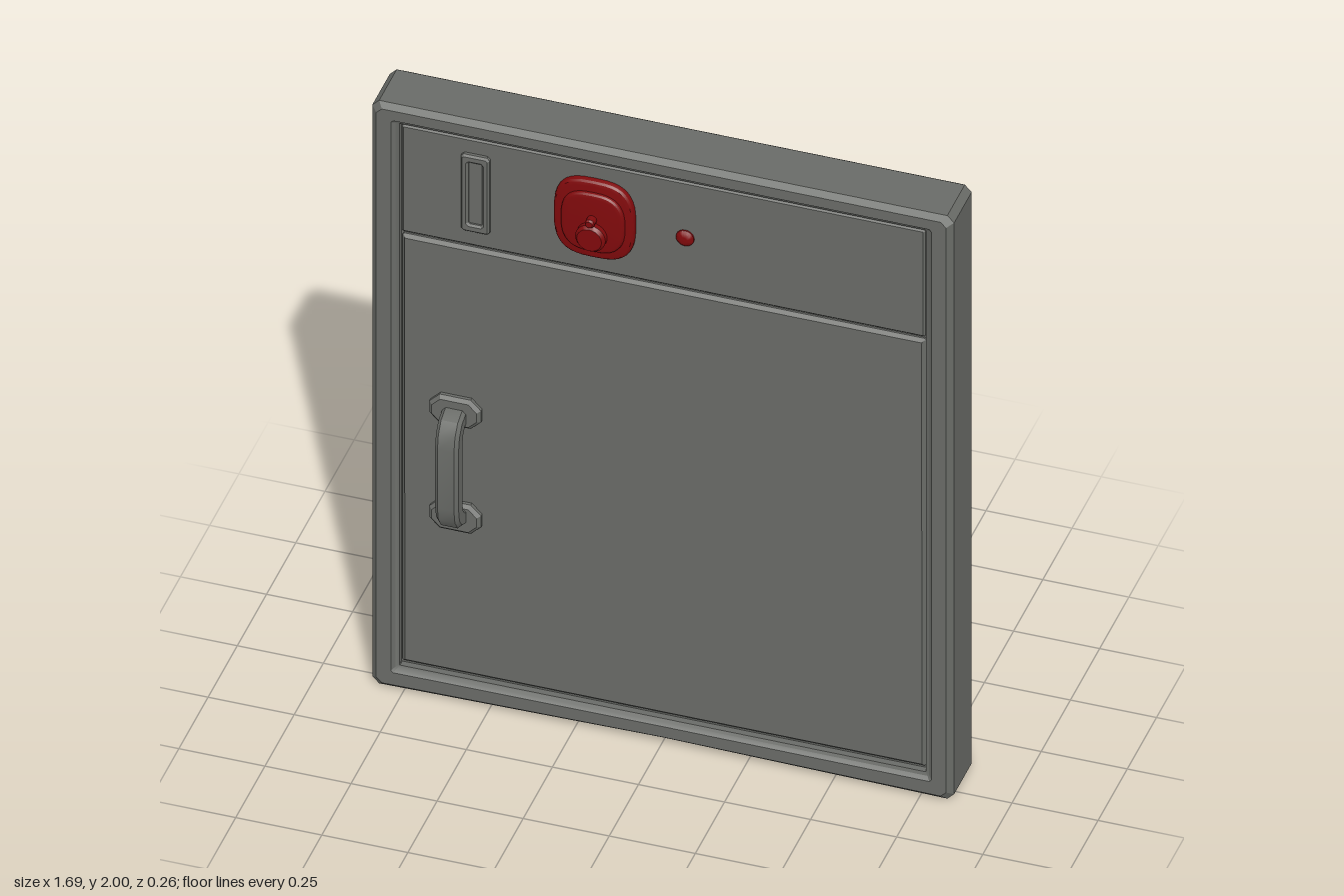
import * as THREE from 'three';
import { toCreasedNormals } from 'three/addons/utils/BufferGeometryUtils.js';

const grey = new THREE.MeshStandardMaterial({ color: 0x696b67 });
grey.name = 'dark grey metal';
const red = new THREE.MeshStandardMaterial({ color: 0x800a0c });
red.name = 'red enamel';

function add(parent, name, geometry, material, x = 0, y = 0, z = 0) {
  const mesh = new THREE.Mesh(toCreasedNormals(geometry, 0.5), material);
  mesh.name = name;
  mesh.position.set(x, y, z);
  parent.add(mesh);
  return mesh;
}

const toShape = (pts) => new THREE.Shape(pts.map(([x, y]) => new THREE.Vector2(x, y)));

// Rectangle outline with cut corners
function cutRect(w, h, c) {
  const x = w / 2, y = h / 2;
  return [[x, c - y], [x, y - c], [x - c, y], [c - x, y],
    [-x, y - c], [-x, c - y], [c - x, -y], [x - c, -y]];
}

// Rounded-square outline
function superEllipse(rx, ry, power, n = 40) {
  const pts = [];
  for (let i = 0; i < n; i++) {
    const a = (i / n) * Math.PI * 2, c = Math.cos(a), s = Math.sin(a);
    pts.push([rx * Math.sign(c) * Math.abs(c) ** (2 / power),
      ry * Math.sign(s) * Math.abs(s) ** (2 / power)]);
  }
  return pts;
}

// Plate between z0 and z1 whose edges are bevelled inside its outline
function plate(shape, z0, z1, bevel, segments = 1) {
  return new THREE.ExtrudeGeometry(shape, {
    depth: z1 - z0 - 2 * bevel, bevelEnabled: true, bevelSize: bevel,
    bevelThickness: bevel, bevelOffset: -bevel, bevelSegments: segments,
  }).translate(0, 0, z0 + bevel);
}

// Outer frame: a chamfered profile swept around the door
function frameGeometry() {
  const loop = (x, y0, y1, c, lift) => [
    [0, y0 + lift], [x - c, y0], [x, y0 + c], [x, y1 - c], [x - c, y1],
    [c - x, y1], [-x, y1 - c], [-x, y0 + c], [c - x, y0]];
  const outer = loop(0.845, 0, 2, 0.02, 0.012);
  const inner = loop(0.765, 0.08, 1.938, 0.002, 0);
  const profile = [[0, -0.112], [0, 0.038], [0.22, 0.056], [0.75, 0.056], [0.88, 0.046],
    [1, 0.042], [1, -0.116], [0.88, -0.12], [0.75, -0.13], [0.22, -0.13]];
  const n = outer.length, m = profile.length, position = [], index = [];
  for (let i = 0; i < n; i++) {
    for (let j = 0; j < m; j++) {
      const [t, z] = profile[j];
      position.push(THREE.MathUtils.lerp(outer[i][0], inner[i][0], t),
        THREE.MathUtils.lerp(outer[i][1], inner[i][1], t), z);
      const i2 = (i + 1) % n, j2 = (j + 1) % m;
      const a = i * m + j, b = i2 * m + j, c = i2 * m + j2, d = i * m + j2;
      index.push(a, b, c, a, c, d);
    }
  }
  const g = new THREE.BufferGeometry();
  g.setAttribute('position', new THREE.Float32BufferAttribute(position, 3));
  g.setIndex(index);
  g.computeVertexNormals();
  return g;
}

// Round knob facing forward, from a profile of [radius, height]
function knob(points, segments = 24) {
  return new THREE.LatheGeometry(points.map(([r, h]) => new THREE.Vector2(r, h)), segments)
    .rotateX(Math.PI / 2);
}

export function createModel() {
  const model = new THREE.Group();
  model.name = 'hatchDoor';

  // Frame and the two panels, with a core behind the gap
  add(model, 'frame', frameGeometry(), grey);
  add(model, 'core', new THREE.BoxGeometry(1.54, 1.87, 0.12), grey, 0, 1.008, -0.038);
  add(model, 'lowerPanel', plate(toShape(cutRect(1.52, 1.465, 0.004)), -0.112, 0.038, 0.01),
    grey, 0, 0.8225);
  add(model, 'upperPanel', plate(toShape(cutRect(1.52, 0.365, 0.004)), -0.112, 0.038, 0.005),
    grey, 0, 1.7485);

  // Card slot: raised rim around a sunken strip
  const rim = toShape(cutRect(0.084, 0.262, 0.008));
  rim.holes.push(new THREE.Path(cutRect(0.04, 0.21, 0.004).reverse()
    .map(([x, y]) => new THREE.Vector2(x, y))));
  const slot = new THREE.Group();
  slot.name = 'cardSlot';
  slot.position.set(-0.543, 1.752, 0);
  add(slot, 'slotRim', plate(rim, 0.03, 0.053, 0.006), grey);
  add(slot, 'slotStrip', new THREE.BoxGeometry(0.05, 0.22, 0.006), grey, 0, 0, 0.039);
  model.add(slot);

  // Red lock: stepped rounded plate, knob and pin
  const lock = new THREE.Group();
  lock.name = 'lock';
  lock.position.set(-0.197, 1.752, 0);
  add(lock, 'lockBase', plate(toShape(superEllipse(0.118, 0.132, 3)), 0.02, 0.058, 0.014, 3), red);
  add(lock, 'lockFace', plate(toShape(superEllipse(0.093, 0.1, 2.8)), 0.04, 0.07, 0.012, 3),
    red, 0, -0.003);
  add(lock, 'lockKnob', knob([[0.044, 0], [0.044, 0.03], [0.036, 0.04], [0, 0.04]]),
    red, 0.001, -0.042, 0.055);
  add(lock, 'lockPin', knob([[0.014, 0], [0.014, 0.036], [0.01, 0.042], [0, 0.042]], 12),
    red, 0.001, 0.012, 0.055);
  model.add(lock);

  // Small indicator light
  add(model, 'indicatorLight', knob([[0.027, 0], [0.026, 0.006], [0.019, 0.013], [0.01, 0.017],
    [0, 0.018]], 20), red, 0.064, 1.742, 0.036);

  // Handle: bent grip on two mounting plates
  const handle = new THREE.Group();
  handle.name = 'handle';
  handle.position.set(-0.6, 0.815, 0);
  const half = [[0.03, 0.195], [0.065, 0.195], [0.1, 0.18], [0.124, 0.145], [0.132, 0.1]];
  const inside = [[0.078, 0.1], [0.074, 0.125], [0.062, 0.14], [0.03, 0.142]];
  const flip = (pts) => pts.map(([z, y]) => [z, -y]).reverse();
  const grip = toShape([...half, ...flip(half), ...flip(inside), ...inside]);
  add(handle, 'grip', plate(grip, -0.034, 0.034, 0.01).rotateY(-Math.PI / 2), grey);
  for (const side of [1, -1]) {
    add(handle, 'mountPlate', plate(toShape(cutRect(0.15, 0.098, 0.03)), 0.03, 0.06, 0.01),
      grey, 0, side * 0.18);
  }
  model.add(handle);

  return model;
}
